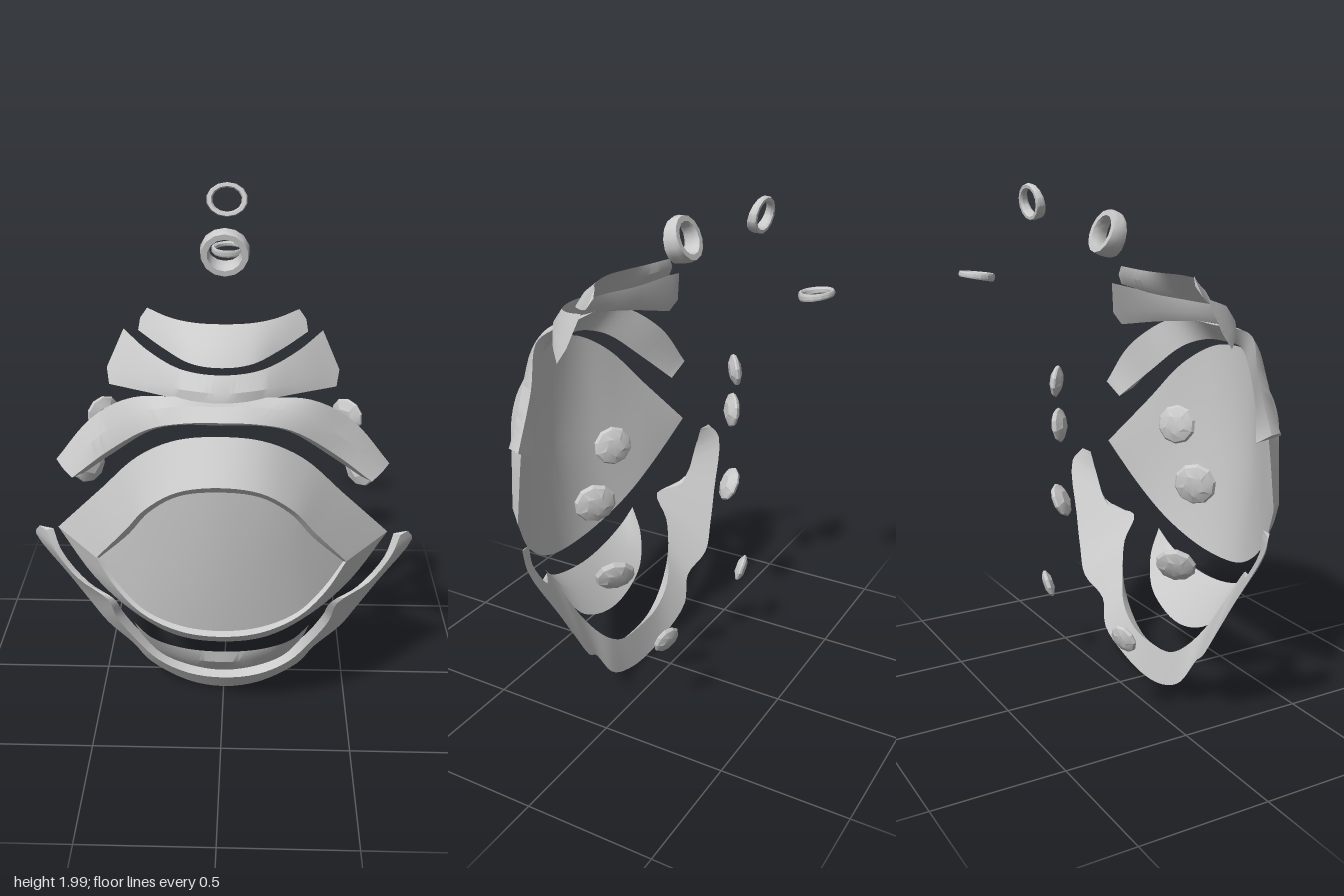
import * as THREE from 'three';
import { toCreasedNormals } from 'three/addons/utils/BufferGeometryUtils.js';

const material = new THREE.MeshStandardMaterial({ color: 0xcccccc });
const shellMaterial = new THREE.MeshStandardMaterial({ color: 0xcccccc, side: THREE.DoubleSide });

// Mirrors a half curve (centre to +x tip) and samples it evenly from -x to +x
function mirrored(half, n) {
  const left = half.slice(1).reverse().map(([x, y, z]) => [-x, y, z]);
  const pts = [...left, ...half].map((p) => new THREE.Vector3(...p));
  return new THREE.CatmullRomCurve3(pts, false, 'centripetal').getPoints(n);
}

// Lofts a symmetric plate through rows listed front-top to front-bottom, then round the back
function plate(name, rows, closed = true, n = 40) {
  const curves = rows.map((r) => mirrored(r, n));
  const verts = curves.flat();
  const index = [];
  const count = curves.length;
  for (let i = 0; i < (closed ? count : count - 1); i++) {
    const a = i * (n + 1), b = ((i + 1) % count) * (n + 1);
    for (let j = 0; j < n; j++) {
      index.push(a + j, b + j, a + j + 1, b + j, b + j + 1, a + j + 1);
    }
  }
  // End caps
  if (closed) {
    for (let i = 1; i < count - 1; i++) {
      const a = i * (n + 1), b = (i + 1) * (n + 1);
      index.push(0, b, a, n, a + n, b + n);
    }
  }
  const geo = new THREE.BufferGeometry().setFromPoints(verts);
  geo.setIndex(index);
  const mesh = new THREE.Mesh(toCreasedNormals(geo, 0.55), shellMaterial);
  mesh.name = name;
  return mesh;
}

// Wedge-shaped ring: thicker on its local +z side
function ring(name, y, z, outer, inner, thick, taper, squash, angle) {
  const h = thick / 2;
  const profile = [
    [outer * 0.95, -h], [outer, -h * 0.4], [outer, h * 0.4], [outer * 0.95, h],
    [inner * 1.1, h], [inner, h * 0.5], [inner, -h * 0.5], [inner * 1.1, -h], [outer * 0.95, -h],
  ].map((p) => new THREE.Vector2(...p));
  const geo = new THREE.LatheGeometry(profile, 14);
  const pos = geo.attributes.position;
  for (let i = 0; i < pos.count; i++) {
    pos.setY(i, pos.getY(i) * (1 + taper * pos.getZ(i) / outer));
  }
  geo.scale(1, 1, squash);
  const mesh = new THREE.Mesh(toCreasedNormals(geo, 0.6), material);
  mesh.name = name;
  mesh.position.set(0, y, z);
  mesh.rotation.x = THREE.MathUtils.degToRad(angle);
  return mesh;
}

// Lens-shaped stud with a flat five-sided face
function stud(name, position, normal, r) {
  const t = r * 0.34;
  const profile = [[0, -t], [r * 0.5, -t], [r * 0.95, -t * 0.3], [r, 0], [r * 0.9, t * 0.45], [r * 0.5, t], [0, t]];
  const geo = new THREE.LatheGeometry(profile.map((p) => new THREE.Vector2(...p)), 10);
  const pos = geo.attributes.position;
  // Pull every other inner corner onto the pentagon's sides
  for (let i = 0; i < pos.count; i++) {
    const v = new THREE.Vector3().fromBufferAttribute(pos, i);
    if (Math.floor(i / profile.length) % 2 && Math.abs(v.y) > t * 0.9) {
      pos.setXYZ(i, v.x * 0.81, v.y, v.z * 0.81);
    }
  }
  const mesh = new THREE.Mesh(toCreasedNormals(geo, 0.4), material);
  mesh.name = name;
  mesh.position.set(...position);
  mesh.quaternion.setFromUnitVectors(new THREE.Vector3(0, 1, 0), new THREE.Vector3(...normal).normalize());
  return mesh;
}

function createMask() {
  const mask = new THREE.Group();
  mask.name = 'facePlate';
  const tip = [0.61, 0.865, 0.285], corner = [0.45, 0.825, 0.435], panelTip = [0.44, 0.82, 0.425];
  const outerTop = [[0, 1.36, 0.535], [0.14, 1.34, 0.52], [0.28, 1.25, 0.46], [0.43, 1.08, 0.39], tip];
  const openTop = [[0, 1.22, 0.63], [0.14, 1.19, 0.61], [0.25, 1.105, 0.573], [0.33, 0.99, 0.52], corner];
  const panelTop = [[0, 1.185, 0.595], [0.135, 1.16, 0.578], [0.24, 1.08, 0.545], [0.32, 0.965, 0.5], panelTip];
  const panelMid = [[0, 0.9, 0.572], [0.12, 0.895, 0.56], [0.24, 0.875, 0.525], [0.34, 0.85, 0.48], panelTip];
  const panelBottom = [[0, 0.57, 0.515], [0.15, 0.585, 0.505], [0.28, 0.635, 0.48], [0.37, 0.72, 0.45], panelTip];
  const openBottom = [[0, 0.555, 0.53], [0.15, 0.57, 0.52], [0.285, 0.625, 0.492], [0.38, 0.715, 0.463], corner];
  const outerBottom = [[0, 0.48, 0.455], [0.17, 0.5, 0.445], [0.33, 0.575, 0.405], [0.475, 0.695, 0.355], tip];
  const backMid = [[0, 0.9, 0.545], [0.15, 0.895, 0.52], [0.3, 0.885, 0.455], [0.45, 0.875, 0.37], tip];
  mask.add(
    plate('maskUpperRim', [outerTop, openTop, panelTop], false),
    plate('maskPanel', [panelTop, panelMid, panelBottom], false),
    plate('maskLowerRim', [panelBottom, openBottom, outerBottom], false),
    plate('maskBack', [outerBottom, backMid, outerTop], false),
  );
  return mask;
}

export function createModel() {
  const model = new THREE.Group();
  model.name = 'maskArmor';
  model.add(createMask());

  // Arched brow
  model.add(plate('brow', [
    [[0, 1.45, 0.43], [0.15, 1.455, 0.425], [0.3, 1.44, 0.4], [0.46, 1.32, 0.31], [0.6, 1.14, 0.272]],
    [[0, 1.445, 0.485], [0.14, 1.44, 0.475], [0.28, 1.4, 0.44], [0.42, 1.29, 0.385], [0.57, 1.135, 0.33]],
    [[0, 1.405, 0.525], [0.12, 1.395, 0.51], [0.24, 1.355, 0.47], [0.39, 1.24, 0.405], [0.53, 1.115, 0.37]],
    [[0, 1.38, 0.49], [0.12, 1.375, 0.475], [0.23, 1.335, 0.43], [0.38, 1.21, 0.36], [0.5, 1.09, 0.28]],
  ]));

  // Two overlapping crown bands
  model.add(plate('lowerCrown', [
    [[0, 1.535, 0.43], [0.13, 1.54, 0.395], [0.25, 1.565, 0.29], [0.35, 1.6, 0.16]],
    [[0, 1.485, 0.465], [0.13, 1.485, 0.435], [0.27, 1.48, 0.335], [0.41, 1.47, 0.2]],
    [[0, 1.45, 0.468], [0.13, 1.45, 0.435], [0.27, 1.44, 0.345], [0.4, 1.42, 0.235]],
    [[0, 1.485, 0.445], [0.13, 1.485, 0.41], [0.26, 1.485, 0.315], [0.395, 1.48, 0.195]],
  ]));
  model.add(plate('upperCrown', [
    [[0, 1.655, 0.265], [0.1, 1.655, 0.25], [0.18, 1.66, 0.215], [0.265, 1.675, 0.155]],
    [[0, 1.6, 0.34], [0.1, 1.602, 0.315], [0.2, 1.615, 0.24], [0.29, 1.64, 0.158]],
    [[0, 1.54, 0.378], [0.1, 1.545, 0.355], [0.2, 1.565, 0.265], [0.297, 1.6, 0.175]],
    [[0, 1.6, 0.32], [0.1, 1.6, 0.295], [0.19, 1.615, 0.22], [0.28, 1.64, 0.152]],
  ]));

  // Crescent below the mask
  const mouthTip = [0.33, 0.512, 0.385];
  model.add(plate('mouthPlate', [
    [[0, 0.4, 0.41], [0.15, 0.415, 0.41], [0.265, 0.455, 0.402], mouthTip],
    [[0, 0.345, 0.402], [0.14, 0.355, 0.39], [0.255, 0.41, 0.375], mouthTip],
    [[0, 0.21, 0.275], [0.13, 0.235, 0.278], [0.235, 0.295, 0.29], [0.305, 0.41, 0.33], mouthTip],
    [[0, 0.32, 0.35], [0.14, 0.34, 0.35], [0.25, 0.4, 0.36], mouthTip],
  ]));

  // Jaw guard with raised side prongs
  model.add(plate('jawGuard', [
    [[0, 0.145, 0.15], [0.14, 0.16, 0.15], [0.25, 0.23, 0.16], [0.33, 0.335, 0.2], [0.39, 0.46, 0.245],
      [0.415, 0.565, 0.308], [0.52, 0.59, 0.235], [0.615, 0.72, 0.225], [0.645, 0.815, 0.212]],
    [[0, 0.105, 0.19], [0.14, 0.125, 0.19], [0.265, 0.2, 0.2], [0.35, 0.31, 0.215], [0.415, 0.44, 0.255],
      [0.44, 0.555, 0.3], [0.56, 0.61, 0.24], [0.64, 0.73, 0.234], [0.67, 0.81, 0.218]],
    [[0, 0.005, 0.12], [0.15, 0.03, 0.115], [0.305, 0.115, 0.1], [0.37, 0.22, 0.122], [0.475, 0.3, 0.088],
      [0.54, 0.41, 0.1], [0.61, 0.54, 0.12], [0.725, 0.76, 0.16], [0.7, 0.82, 0.2]],
  ], true, 64));

  // Three loose rings above and behind
  model.add(
    ring('frontRing', 1.82, -0.05, 0.09, 0.058, 0.06, 0.27, 0.96, 106),
    ring('middleRing', 1.936, -0.357, 0.08, 0.057, 0.03, 0.35, 0.8, 79),
    ring('rearRing', 1.687, -0.572, 0.071, 0.055, 0.024, 0.2, 0.86, 8),
  );

  // Four studs down each side
  const studs = [
    ['upperStud', [0.47, 1.19, -0.04], [0.6, 0.1, -0.78], 0.068],
    ['cheekStud', [0.53, 0.985, 0], [0.68, -0.1, -0.72], 0.075],
    ['lowerStud', [0.46, 0.67, -0.03], [0.62, -0.42, -0.62], 0.075],
    ['chinStud', [0.32, 0.36, -0.165], [0.32, -0.3, -0.9], 0.058],
  ];
  for (const [name, [x, y, z], [nx, ny, nz], r] of studs) {
    for (const s of [1, -1]) {
      model.add(stud((s > 0 ? 'left ' : 'right ') + name, [s * x, y, z], [s * nx, ny, nz], r));
    }
  }
  return model;
}
